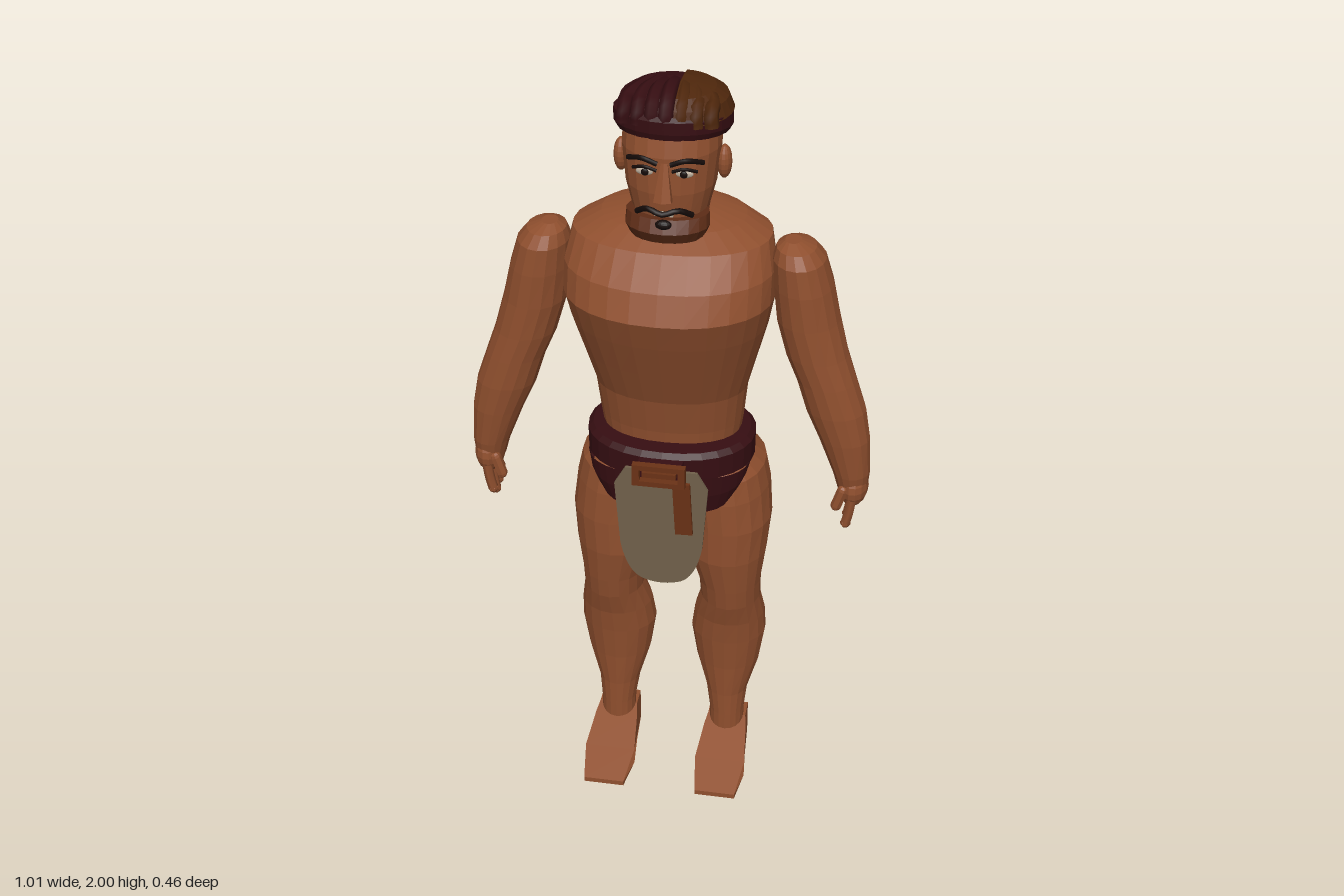
import * as THREE from 'three';

const mat = (name, color, side = THREE.FrontSide) => {
  const m = new THREE.MeshStandardMaterial({ color, side });
  m.name = name;
  return m;
};

export function createModel() {
  const root = new THREE.Group();
  root.name = 'strongman';
  const skin = mat('skin', 0x8f4f2e);
  const maroon = mat('maroonCloth', 0x360e12, THREE.DoubleSide);
  const brown = mat('brownHair', 0x4f270c, THREE.DoubleSide);
  const beardMat = mat('beardBrown', 0x5c2c16);
  const leather = mat('leather', 0x6b3216);
  const beige = mat('apronCloth', 0x70604a, THREE.DoubleSide);
  const black = mat('black', 0x140a08);
  const white = mat('white', 0xb8aa98);

  const add = (name, geo, material, x = 0, y = 0, z = 0) => {
    const mesh = new THREE.Mesh(geo, material);
    mesh.name = name;
    mesh.position.set(x, y, z);
    root.add(mesh);
    return mesh;
  };
  const facet = (geo) => {
    const g = geo.index ? geo.toNonIndexed() : geo;
    g.computeVertexNormals();
    return g;
  };

  // Faceted loft through horizontal rings, lowest first: [y, centreX, frontZ, backZ, halfWidth].
  // An arc [from, to] makes an open panel; drop(angle, v) may shift heights.
  const loft = (rings, { n = 20, power = 2, arc = null, drop = () => 0 } = {}) => {
    const [from, to] = arc || [0, Math.PI * 2];
    const pos = [], idx = [];
    const bend = (v) => Math.sign(v) * Math.abs(v) ** (2 / power);
    rings.forEach(([y, x, zf, zb, rx], j) => {
      for (let i = 0; i <= n; i++) {
        const t = from + (to - from) * i / n;
        const z = (zf + zb) / 2 + bend(Math.cos(t)) * (zf - zb) / 2;
        pos.push(x + bend(Math.sin(t)) * rx, y + drop(t, j / (rings.length - 1), z), z);
      }
    });
    const row = n + 1;
    for (let j = 0; j < rings.length - 1; j++) {
      for (let i = 0; i < n; i++) {
        const a = j * row + i;
        idx.push(a, a + 1, a + row + 1, a, a + row + 1, a + row);
      }
    }
    if (!arc) {
      const last = (rings.length - 1) * row;
      for (let i = 1; i < n - 1; i++) idx.push(0, i + 1, i, last, last + i, last + i + 1);
    }
    const g = new THREE.BufferGeometry();
    g.setAttribute('position', new THREE.Float32BufferAttribute(pos, 3));
    g.setIndex(idx);
    return facet(g);
  };
  const ball = (rx, ry, rz, w = 14, h = 10) => facet(new THREE.SphereGeometry(1, w, h).scale(rx, ry, rz));
  const tube = (pts, r, n = 12, sides = 7) => new THREE.TubeGeometry(
    new THREE.CatmullRomCurve3(pts.map((p) => new THREE.Vector3(...p))), n, r, sides);

  // Torso
  add('torso', loft([
    [0.86, 0, 0.05, -0.1, 0.1], [1.0, 0, 0.09, -0.13, 0.165], [1.1, 0, 0.1, -0.135, 0.18],
    [1.2, 0, 0.12, -0.14, 0.19], [1.3, 0, 0.16, -0.15, 0.215], [1.4, 0, 0.2, -0.16, 0.24],
    [1.48, 0, 0.23, -0.163, 0.255], [1.55, 0, 0.2, -0.165, 0.255], [1.62, 0, 0.135, -0.165, 0.24],
    [1.65, 0, 0.08, -0.158, 0.175], [1.67, 0, 0.03, -0.14, 0.09],
  ], { n: 28, power: 2.2 }), skin);

  // Head and neck
  add('head', loft([
    [1.6, 0, 0.05, -0.1, 0.085], [1.66, 0, 0.065, -0.095, 0.085], [1.7, 0, 0.1, -0.092, 0.092],
    [1.76, 0, 0.107, -0.105, 0.107], [1.85, 0, 0.105, -0.122, 0.117], [1.93, 0, 0.085, -0.13, 0.115],
  ], { power: 2.2 }), skin);
  add('beard', loft([
    [1.625, 0, 0.085, 0, 0.06], [1.64, 0, 0.115, 0, 0.088], [1.67, 0, 0.132, -0.01, 0.1],
    [1.7, 0, 0.115, -0.01, 0.098],
  ]), beardMat);
  add('beardTip', ball(0.02, 0.012, 0.012), black, 0, 1.69, 0.118);
  const nose = add('nose', facet(new THREE.CylinderGeometry(0.009, 0.024, 0.09, 6)), skin, 0, 1.795, 0.112);
  nose.rotation.x = -0.25;
  add('teeth', new THREE.BoxGeometry(0.045, 0.01, 0.008), white, 0, 1.715, 0.112);
  add('moustache', tube([[-0.065, 1.712, 0.1], [-0.035, 1.733, 0.125], [0, 1.725, 0.135],
    [0.035, 1.733, 0.125], [0.065, 1.712, 0.1]], 0.007), black);
  for (const s of [1, -1]) {
    add('eye', ball(0.022, 0.01, 0.007), white, s * 0.045, 1.815, 0.099);
    add('pupil', ball(0.009, 0.009, 0.004), black, s * 0.045, 1.815, 0.105);
    add('upperLid', tube([[s * 0.018, 1.82, 0.105], [s * 0.045, 1.829, 0.106], [s * 0.075, 1.82, 0.094]], 0.004), black);
    add('eyebrow', tube([[s * 0.015, 1.84, 0.112], [s * 0.05, 1.852, 0.11], [s * 0.088, 1.84, 0.085]], 0.006), black);
    add('ear', ball(0.018, 0.042, 0.024), skin, s * 0.122, 1.8, -0.012);
  }

  // Two-tone hair with a rolled rim and front locks
  const tilt = (t, v, z) => z * 0.12;
  add('hairRim', loft([
    [1.88, 0, 0.095, -0.145, 0.132], [1.895, 0, 0.1, -0.15, 0.14], [1.925, 0, 0.1, -0.15, 0.14],
    [1.935, 0, 0.09, -0.14, 0.13],
  ], { n: 24, drop: tilt }), maroon);
  const dome = [[1.92, 0, 0.092, -0.144, 0.135], [1.953, 0, 0.083, -0.135, 0.122],
    [1.973, 0, 0.055, -0.105, 0.093], [1.983, 0, 0.015, -0.06, 0.045]];
  add('darkHair', loft(dome, { n: 24 }), maroon);
  add('brownHairHalf', loft([...dome.map(([y, , f, b, r]) => [y + 0.005, 0.018, f + 0.002, b - 0.002, r - 0.012]),
    [1.99, 0.018, -0.02, -0.024, 0.002]], { n: 14, arc: [0, Math.PI] }), brown);
  for (let i = 0; i < 7; i++) {
    const x = -0.099 + i * 0.033;
    const back = 0.02 * Math.abs(x) / 0.1;
    add('frontLock', tube([[x * 0.6, 1.965, -0.06], [x * 0.9, 1.982 - back, 0], [x, 1.977 - back, 0.045 - back],
      [x, 1.95, 0.08 - back], [x * 1.03, 1.918, 0.083 - back]], 0.018), i > 3 ? brown : maroon);
  }

  for (const s of [1, -1]) {
    // Arm
    add('arm', loft([
      [0.95, s * 0.465, 0.075, -0.01, 0.038], [1.0, s * 0.46, 0.085, -0.015, 0.047],
      [1.1, s * 0.438, 0.095, -0.022, 0.064], [1.18, s * 0.413, 0.1, -0.035, 0.075],
      [1.26, s * 0.387, 0.1, -0.042, 0.074], [1.33, s * 0.36, 0.1, -0.055, 0.077],
      [1.42, s * 0.335, 0.1, -0.073, 0.078], [1.51, s * 0.32, 0.1, -0.08, 0.073],
      [1.58, s * 0.308, 0.095, -0.07, 0.064], [1.61, s * 0.3, 0.075, -0.045, 0.048],
      [1.625, s * 0.292, 0.04, -0.01, 0.02],
    ], { n: 16 }), skin);

    // Hand
    add('palm', ball(0.038, 0.058, 0.056), skin, s * 0.468, 0.955, 0.03);
    for (let i = 0; i < 4; i++) {
      const z = -0.012 + i * 0.028, end = [0.86, 0.84, 0.83, 0.85][i];
      add('finger', tube([[s * 0.468, 0.935, z], [s * 0.462, 0.89, z], [s * 0.455, end + 0.01, z]], 0.013, 6, 6), skin);
      add('fingertip', ball(0.013, 0.013, 0.013, 6, 5), skin, s * 0.455, end + 0.01, z);
    }
    const thumb = add('thumb', facet(new THREE.CapsuleGeometry(0.014, 0.05, 3, 7)), skin, s * 0.437, 0.935, 0.072);
    thumb.rotation.z = -s * 0.3;

    // Leg and buttock
    add('leg', loft([
      [0.07, s * 0.152, 0.03, -0.058, 0.046], [0.13, s * 0.152, 0.03, -0.068, 0.047],
      [0.2, s * 0.15, 0.03, -0.09, 0.056], [0.3, s * 0.15, 0.035, -0.12, 0.085],
      [0.4, s * 0.15, 0.045, -0.127, 0.1], [0.47, s * 0.153, 0.055, -0.118, 0.094],
      [0.54, s * 0.157, 0.075, -0.098, 0.079], [0.6, s * 0.156, 0.085, -0.088, 0.081],
      [0.7, s * 0.146, 0.1, -0.112, 0.104], [0.8, s * 0.148, 0.102, -0.145, 0.111],
      [0.89, s * 0.14, 0.1, -0.185, 0.11], [0.95, s * 0.135, 0.092, -0.185, 0.102],
      [1.0, s * 0.11, 0.07, -0.14, 0.08],
    ], { n: 18 }), skin);
    add('buttock', ball(0.1, 0.105, 0.11), skin, s * 0.1, 0.925, -0.118);

    // Wedge foot, narrower at the heel
    const profile = [[-0.07, 0], [0.02, 0], [0.12, 0], [0.215, 0], [0.215, 0.014],
      [0.12, 0.048], [0.02, 0.085], [-0.015, 0.098], [-0.07, 0.098]];
    const foot = new THREE.ExtrudeGeometry(new THREE.Shape(profile.map((p) => new THREE.Vector2(...p))),
      { depth: 0.136, bevelEnabled: false });
    foot.translate(0, 0, -0.068).rotateY(-Math.PI / 2);
    const p = foot.attributes.position;
    for (let i = 0; i < p.count; i++) {
      const z = p.getZ(i);
      p.setX(i, p.getX(i) * (z < 0.01 ? 0.76 : z < 0.05 ? 0.85 : z < 0.2 ? 1 : 0.8));
    }
    add('foot', facet(foot), skin, s * 0.153, 0, 0);
  }

  // Belt and loincloth
  add('belt', loft([
    [0.985, 0, 0.12, -0.14, 0.19], [0.995, 0, 0.15, -0.165, 0.212], [1.055, 0, 0.152, -0.168, 0.213],
    [1.068, 0, 0.14, -0.155, 0.2], [1.07, 0, 0.09, -0.12, 0.16],
  ], { n: 28, power: 2.2 }), maroon);
  add('frontWrap', loft([
    [0.88, 0, 0.125, -0.1, 0.185], [0.94, 0, 0.14, -0.13, 0.203], [1.0, 0, 0.145, -0.14, 0.208],
  ], { n: 18, power: 2.8, arc: [-1.5, 1.5], drop: (t, v) => (1 - v) * 0.09 * (Math.abs(t) / 1.5) ** 3 }), maroon);
  const flap = add('rearFlap', new THREE.BoxGeometry(0.2, 0.24, 0.008), maroon, 0, 0.845, -0.145);
  flap.rotation.x = 0.06;

  // Hanging apron
  const apron = new THREE.Shape();
  apron.moveTo(-0.09, 1.03).lineTo(0.09, 1.03).lineTo(0.118, 0.98).lineTo(0.105, 0.8);
  apron.quadraticCurveTo(0.09, 0.71, 0.05, 0.69).quadraticCurveTo(0, 0.67, -0.05, 0.69);
  apron.quadraticCurveTo(-0.09, 0.71, -0.105, 0.8).lineTo(-0.118, 0.98);
  add('apron', new THREE.ExtrudeGeometry(apron, { depth: 0.008, bevelEnabled: false }), beige, 0, 0, 0.156);

  // Buckle and strap end
  const frame = new THREE.Shape();
  frame.moveTo(-0.066, -0.03).lineTo(0.066, -0.03).lineTo(0.066, 0.03).lineTo(-0.066, 0.03);
  const hole = new THREE.Path();
  hole.moveTo(-0.048, -0.016).lineTo(-0.048, 0.016).lineTo(0.048, 0.016).lineTo(0.048, -0.016);
  frame.holes.push(hole);
  add('buckle', new THREE.ExtrudeGeometry(frame, { depth: 0.018, bevelEnabled: false }), leather, 0, 1.036, 0.185);
  add('bucklePlate', new THREE.BoxGeometry(0.11, 0.045, 0.03), maroon, 0, 1.036, 0.17);
  add('bucklePin', new THREE.BoxGeometry(0.085, 0.014, 0.012), leather, 0, 1.036, 0.192);
  const strap = add('strapEnd', new THREE.BoxGeometry(0.044, 0.16, 0.009), leather, 0.057, 0.93, 0.178);
  strap.rotation.set(0.06, 0, 0.04);

  return root;
}
